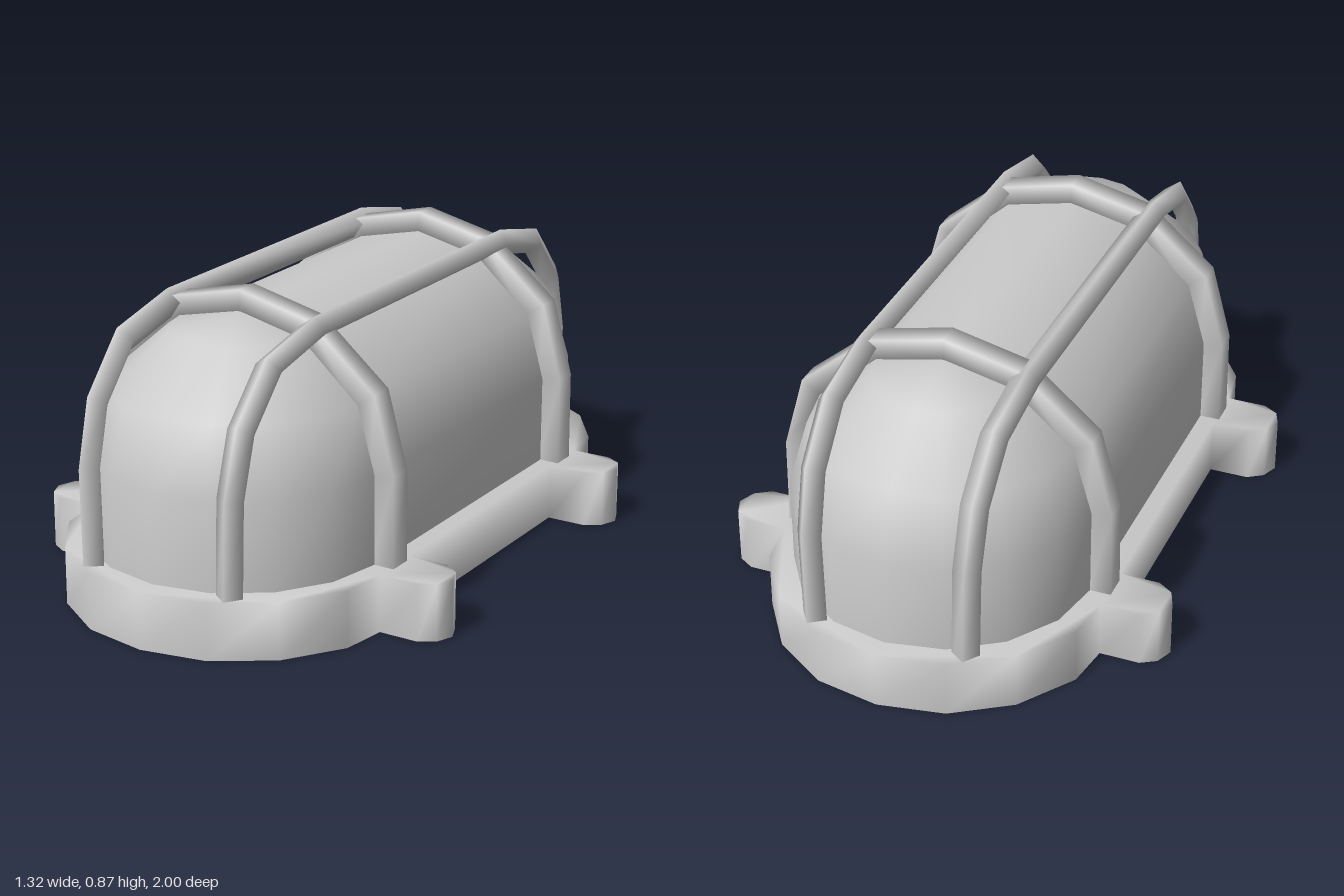
import * as THREE from 'three';
import { mergeVertices } from 'three/addons/utils/BufferGeometryUtils.js';

const RIM_Y = 0.165;
const material = new THREE.MeshStandardMaterial({ color: 0xcccccc, side: THREE.DoubleSide });

// Smooth skin over a stack of closed loops of [x, y, z] points; lid holds triangles closing the last loop
function loft(loops, lid = []) {
  const n = loops[0].length;
  const index = [];
  for (let i = 0; i < loops.length - 1; i++) {
    for (let j = 0; j < n; j++) {
      const a = i * n + j, b = i * n + (j + 1) % n;
      index.push(a, b, b + n, a, b + n, a + n);
    }
  }
  index.push(...lid.flat().map((k) => k + n * (loops.length - 1)));
  let geometry = new THREE.BufferGeometry();
  geometry.setAttribute('position', new THREE.Float32BufferAttribute(loops.flat(2), 3));
  geometry.setIndex(index);
  geometry = mergeVertices(geometry, 1e-4);
  geometry.computeVertexNormals();
  return geometry;
}

// Half a plan outline plus the same half turned 180 degrees
const fullTurn = (half) => [...half, ...half.map(([x, z]) => [-x, -z])];

// Plan of the dome: two half circles joined by straight sides
function stadium(r) {
  const half = [];
  for (let i = 0; i <= 8; i++) {
    const t = (i / 8 - 0.5) * Math.PI;
    half.push([r * Math.sin(t), 0.507 + r * Math.cos(t)]);
  }
  return fullTurn(half);
}

// Plan of the base: rounded end and a screw lug on each side
function basePlan() {
  const right = [
    [0.19, 0.965], [0.35, 0.86], [0.46, 0.70], [0.48, 0.567],
    [0.595, 0.567], [0.64, 0.54], [0.66, 0.49], [0.64, 0.44], [0.595, 0.41], [0.48, 0.41],
  ];
  const left = right.map(([x, z]) => [-x, z]).reverse();
  return fullTurn([...left, [0, 1], ...right]);
}

// Four-sided bar with mitred corners along a flat path of [x, y] points, rolled about its axis
function bar(path, radius, roll) {
  const pts = path.map(([x, y]) => new THREE.Vector2(x, y));
  const loops = pts.map((p, i) => {
    const before = pts[Math.max(i - 1, 0)], after = pts[Math.min(i + 1, pts.length - 1)];
    const d1 = (i > 0 ? p.clone().sub(before) : after.clone().sub(p)).normalize();
    const d2 = (i < pts.length - 1 ? after.clone().sub(p) : d1.clone()).normalize();
    const t = d1.clone().add(d2).normalize();
    const stretch = radius / t.dot(d1);
    return [0, 1, 2, 3].map((j) => {
      const a = roll + (j * Math.PI) / 2;
      const m = Math.cos(a) * stretch;
      return [p.x - t.y * m, p.y + t.x * m, Math.sin(a) * radius];
    });
  });
  return loft(loops);
}

// Mirrors half a bar path to make a whole arch
const arch = (half) => [...half, ...half.filter(([x]) => x > 0).map(([x, y]) => [-x, y]).reverse()];

export function createModel() {
  const model = new THREE.Group();
  const add = (name, geometry) => {
    const mesh = new THREE.Mesh(geometry, material);
    mesh.name = name;
    model.add(mesh);
    return mesh;
  };

  // Base: open underneath, closed on top, softly shaded over the edge
  const plan = basePlan();
  const lid = THREE.ShapeUtils.triangulateShape(plan.map(([x, z]) => new THREE.Vector2(x, -z)), []);
  add('base', loft([0, RIM_Y].map((y) => plan.map(([x, z]) => [x, y, z])), lid));

  // Dome cover
  const domeProfile = [[0.43, RIM_Y], [0.43, 0.42], [0.375, 0.61], [0.2, 0.765], [0, 0.81]];
  add('domeCover', loft(domeProfile.map(([r, y]) => stadium(r).map(([x, z]) => [x, y, z]))));

  // Cage: two square arches across the dome
  const cross = arch([[0.453, 0.135], [0.451, 0.42], [0.395, 0.625], [0.205, 0.785], [0, 0.832]]);
  for (const [name, z] of [['frontCrossBar', 0.477], ['backCrossBar', -0.477]]) {
    add(name, bar(cross, 0.036 * Math.SQRT2, Math.PI / 4)).position.z = z;
  }

  // Cage: two long bars from end to end, rolled edge up and leaning outward at the top
  const long = arch([[0.9, 0.09], [0.898, 0.435], [0.85, 0.61], [0.723, 0.748], [0.505, 0.796]]);
  for (const [name, side] of [['leftLongBar', 1], ['rightLongBar', -1]]) {
    const geometry = bar(long, 0.039, side * 0.17).rotateY(-Math.PI / 2);
    const p = geometry.attributes.position;
    for (let i = 0; i < p.count; i++) {
      p.setX(i, p.getX(i) + side * (0.218 + 0.02 * p.getY(i)));
    }
    geometry.computeVertexNormals();
    add(name, geometry);
  }

  return model;
}
